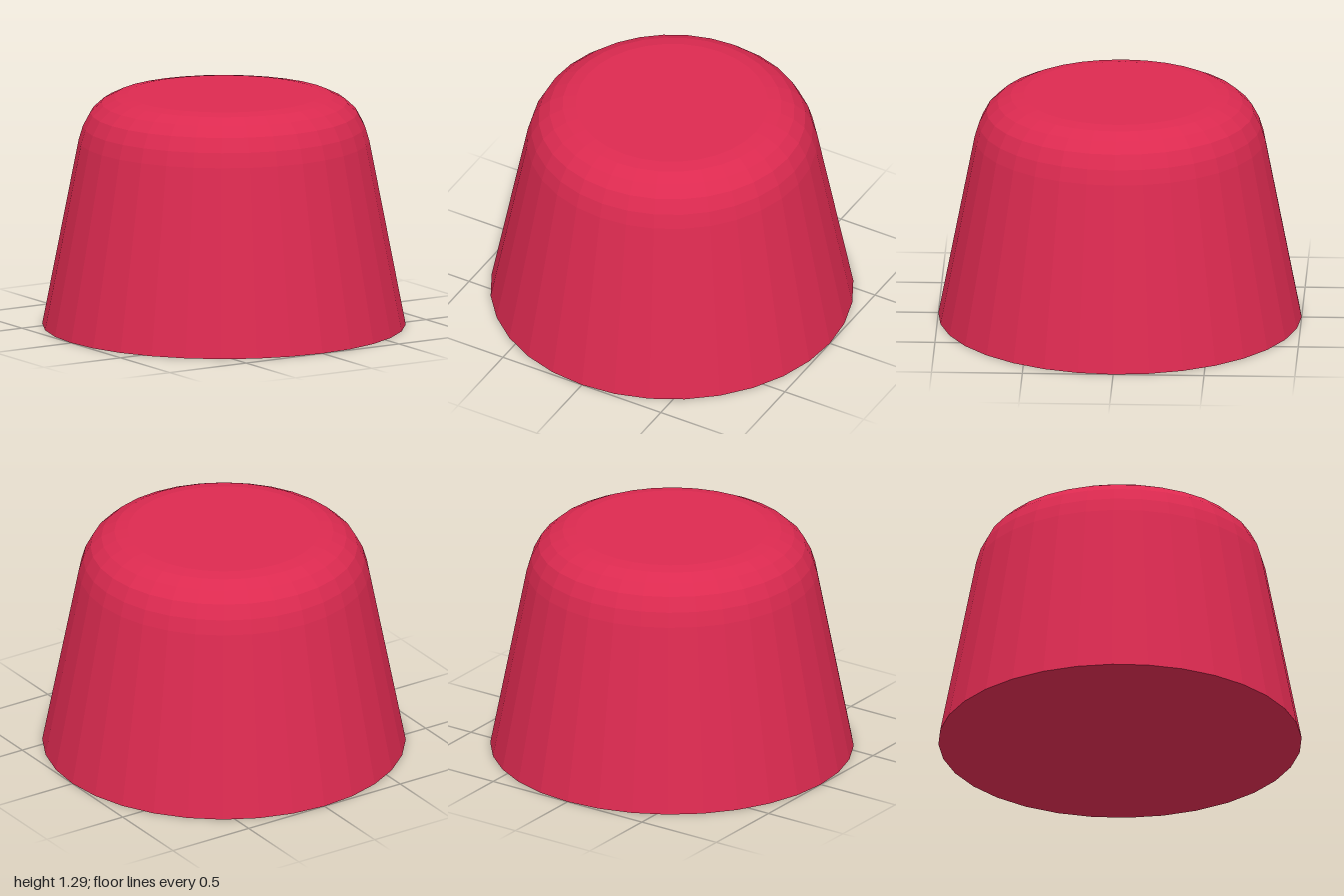
import * as THREE from 'three';

export function createModel() {
  const group = new THREE.Group();
  group.name = 'taperedCap';

  // Half profile: flat base, tapered wall, rounded shoulder, flat top
  const profile = [
    [0, 0], [1, 0], [0.8, 1.03], [0.776, 1.11], [0.735, 1.187],
    [0.675, 1.242], [0.603, 1.277], [0.53, 1.29], [0, 1.29],
  ].map(([r, y]) => new THREE.Vector2(r, y));

  const material = new THREE.MeshStandardMaterial({ color: 0xdc2a50, flatShading: true });
  const body = new THREE.Mesh(new THREE.LatheGeometry(profile, 32), material);
  body.name = 'body';
  group.add(body);

  return group;
}
